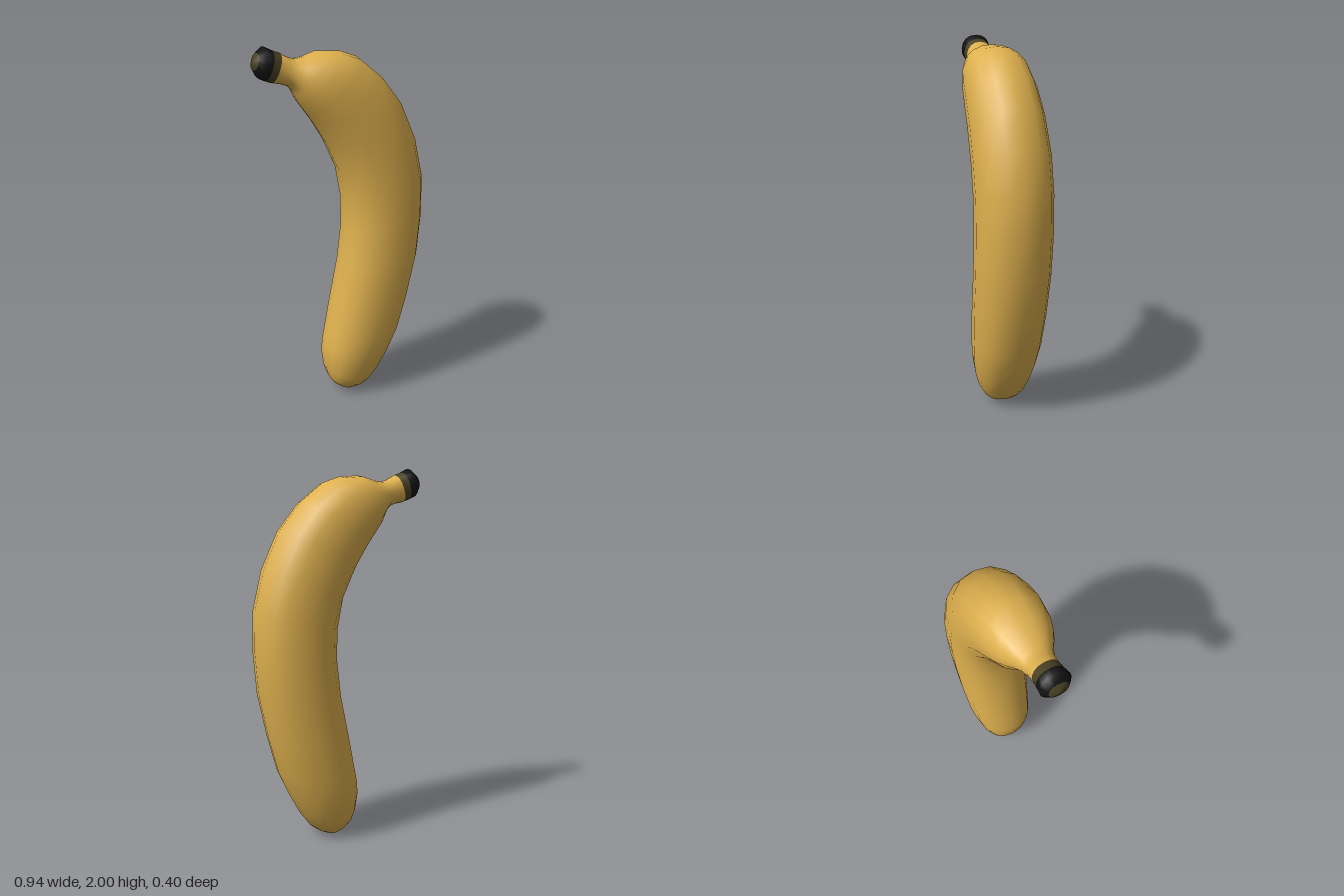
import * as THREE from 'three';

const SIDES = 16;

// Cross-sections from the bottom tip to the stem end:
// inner edge x, y, outer edge x, y, half width in z
const SECTIONS = [
  [0.005, 0.018, 0.005, 0.018, 0],
  [-0.055, 0.055, 0.06, 0.0, 0.06],
  [-0.075, 0.09, 0.125, 0.03, 0.105],
  [-0.095, 0.15, 0.165, 0.06, 0.13],
  [-0.105, 0.23, 0.225, 0.14, 0.155],
  [-0.1, 0.3, 0.285, 0.25, 0.173],
  [-0.085, 0.37, 0.345, 0.38, 0.183],
  [-0.05, 0.55, 0.4, 0.58, 0.193],
  [0.0, 0.79, 0.45, 0.815, 0.198],
  [0.025, 1.0, 0.47, 1.05, 0.2],
  [0.02, 1.16, 0.465, 1.265, 0.2],
  [-0.01, 1.32, 0.415, 1.475, 0.2],
  [-0.085, 1.48, 0.325, 1.675, 0.194],
  [-0.15, 1.585, 0.21, 1.82, 0.187],
  [-0.2, 1.655, 0.085, 1.92, 0.176],
  [-0.24, 1.71, -0.01, 1.953, 0.16],
  [-0.262, 1.755, -0.115, 1.96, 0.135],
  [-0.277, 1.78, -0.2, 1.937, 0.105],
  [-0.3, 1.8, -0.255, 1.93, 0.085],
  [-0.335, 1.812, -0.29, 1.94, 0.074],
  [-0.385, 1.822, -0.335, 1.965, 0.07],
  [-0.42, 1.835, -0.375, 1.98, 0.073],
  [-0.452, 1.85, -0.415, 2.0, 0.079],
  [-0.474, 1.89, -0.452, 1.972, 0.05],
  [-0.475, 1.928, -0.475, 1.928, 0],
];

// Slightly squared circle
const soften = (v) => Math.sign(v) * Math.pow(Math.abs(v), 0.9);

// Triangles joining section `from` up to section `to`
function bandIndex(from, to) {
  const index = [];
  for (let i = from; i < to; i++) {
    for (let j = 0; j < SIDES; j++) {
      const k = (j + 1) % SIDES;
      const a = i * SIDES + j, b = i * SIDES + k;
      const c = a + SIDES, d = b + SIDES;
      if (SECTIONS[i][4] > 0) index.push(a, c, b);
      if (SECTIONS[i + 1][4] > 0) index.push(b, c, d);
    }
  }
  // Fans at the closed ends
  return index.length ? index : null;
}

export function createModel() {
  const yellow = new THREE.MeshStandardMaterial({ color: 0xdeb04e });
  yellow.name = 'ripe yellow';
  const brown = new THREE.MeshStandardMaterial({ color: 0x4a4024 });
  brown.name = 'olive brown';
  const black = new THREE.MeshStandardMaterial({ color: 0x121212 });
  black.name = 'dried black';

  const points = [];
  for (const [ix, iy, ox, oy, w] of SECTIONS) {
    for (let j = 0; j < SIDES; j++) {
      const angle = (j / SIDES) * Math.PI * 2;
      const c = soften(Math.cos(angle)) / 2;
      points.push((ix + ox) / 2 + (ox - ix) * c, (iy + oy) / 2 + (oy - iy) * c, w * soften(Math.sin(angle)));
    }
  }

  // Whole skin first, so that the normals run smoothly across the colours
  const last = SECTIONS.length - 1;
  const skin = new THREE.BufferGeometry();
  skin.setAttribute('position', new THREE.Float32BufferAttribute(points, 3));
  skin.setIndex(bandIndex(0, last));
  skin.computeVertexNormals();

  const group = new THREE.Group();
  group.name = 'banana';
  const addPart = (name, from, to, material) => {
    const geometry = new THREE.BufferGeometry();
    for (const key of ['position', 'normal']) {
      const values = skin.getAttribute(key).array.slice(from * SIDES * 3, (to + 1) * SIDES * 3);
      geometry.setAttribute(key, new THREE.BufferAttribute(values, 3));
    }
    geometry.setIndex(bandIndex(from, to).map((v) => v - from * SIDES));
    const mesh = new THREE.Mesh(geometry, material);
    mesh.name = name;
    group.add(mesh);
  };

  addPart('blossomTip', 0, 1, brown);
  addPart('peel', 1, last - 4, yellow);
  addPart('stemBand', last - 4, last - 3, brown);
  addPart('stemCap', last - 3, last - 1, black);
  addPart('stemCutEnd', last - 1, last, brown);
  return group;
}
